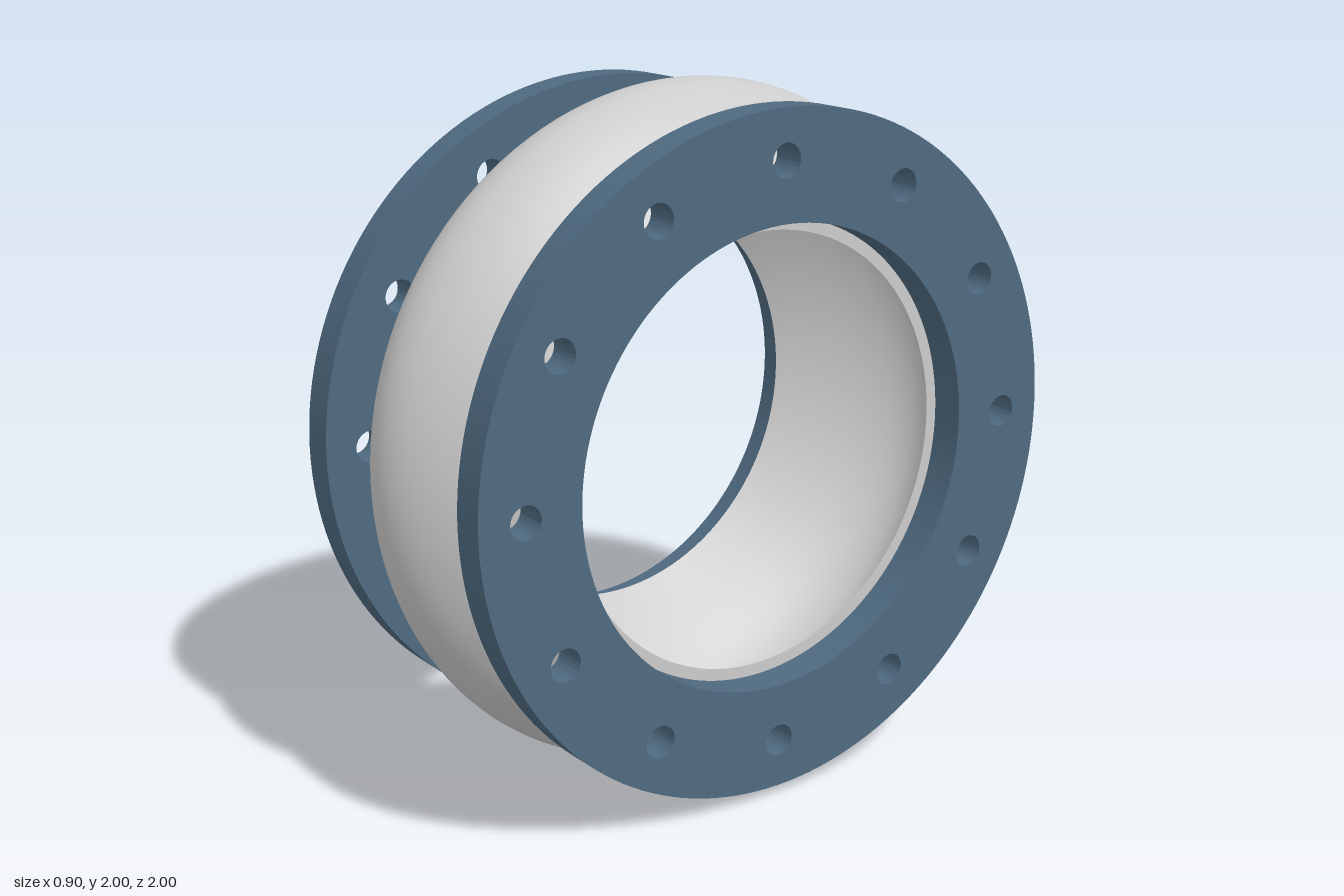
import * as THREE from 'three';
import { toCreasedNormals } from 'three/addons/utils/BufferGeometryUtils.js';

const HALF = 0.35;      // half length of the bellows
const THICK = 0.1;      // flange thickness
const WALL = 0.065;     // bellows wall

// Ring with twelve bolt holes, lying along x from 0 to THICK
function flangeGeometry() {
  const shape = new THREE.Shape();
  shape.absarc(0, 0, 0.97, 0, Math.PI * 2, false);
  const addHole = (x, y, r) => {
    const hole = new THREE.Path();
    hole.absarc(x, y, r, 0, Math.PI * 2, true);
    shape.holes.push(hole);
  };
  addHole(0, 0, 0.66);
  for (let i = 0; i < 12; i++) {
    const a = (i * Math.PI) / 6;
    addHole(0.83 * Math.cos(a), 0.83 * Math.sin(a), 0.047);
  }
  const geo = new THREE.ExtrudeGeometry(shape, { depth: THICK, bevelEnabled: false, curveSegments: 80 });
  geo.rotateY(Math.PI / 2);
  return toCreasedNormals(geo, 0.6);
}

// Single arched convolution: outer skin, then inner skin back to the start
function bellowsGeometry() {
  const steps = 32;
  const radius = (t) => 0.69 + 0.31 * Math.cos((Math.PI * t) / 2);
  const profile = [];
  for (let i = 0; i <= steps; i++) {
    const t = (2 * i) / steps - 1;
    profile.push(new THREE.Vector2(radius(t), t * HALF));
  }
  for (let i = steps; i >= 0; i--) {
    const t = (2 * i) / steps - 1;
    profile.push(new THREE.Vector2(radius(t) - WALL, t * HALF));
  }
  profile.push(profile[0].clone());
  const geo = new THREE.LatheGeometry(profile, 128);
  geo.rotateZ(Math.PI / 2);
  return toCreasedNormals(geo, 0.6);
}

export function createModel() {
  const group = new THREE.Group();
  group.name = 'expansionJoint';
  const rubber = new THREE.MeshStandardMaterial({ color: 0xcccccc });
  const steel = new THREE.MeshStandardMaterial({ color: 0x4f6a80 });

  const bellows = new THREE.Mesh(bellowsGeometry(), rubber);
  bellows.name = 'bellows';
  bellows.position.y = 1;
  group.add(bellows);

  // One flange at each end
  const flangeGeo = flangeGeometry();
  for (const [name, x] of [['leftFlange', HALF], ['rightFlange', -HALF - THICK]]) {
    const flange = new THREE.Mesh(flangeGeo, steel);
    flange.name = name;
    flange.position.set(x, 1, 0);
    group.add(flange);
  }
  return group;
}
